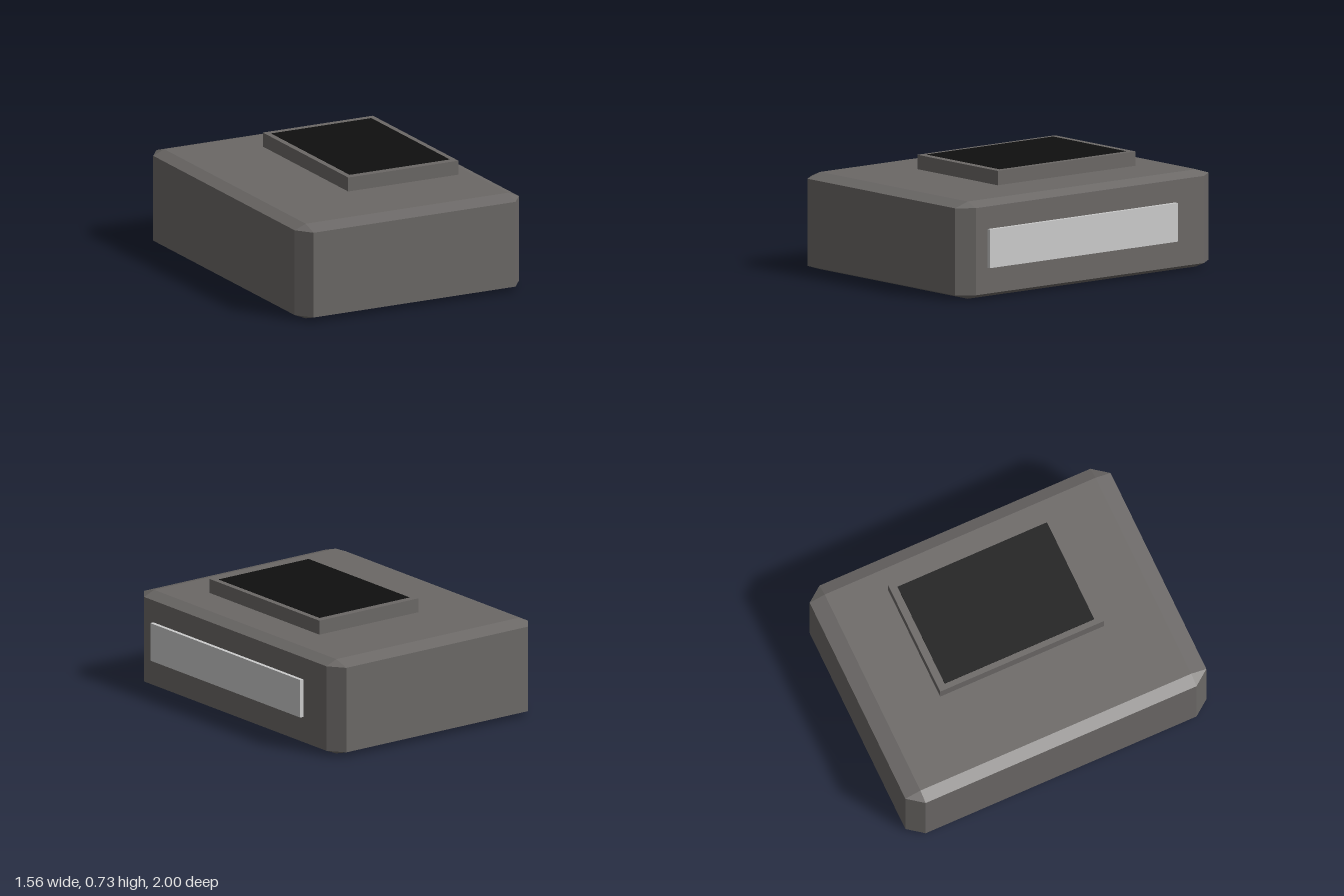
import * as THREE from 'three';
import { ConvexGeometry } from 'three/addons/geometries/ConvexGeometry.js';

const material = (color) => new THREE.MeshStandardMaterial({ color, flatShading: true });

// Box given by its minimum and maximum corners
function box(name, min, max, mat) {
  const size = max.map((v, i) => v - min[i]);
  const mesh = new THREE.Mesh(new THREE.BoxGeometry(...size), mat);
  mesh.position.set(...max.map((v, i) => (v + min[i]) / 2));
  mesh.name = name;
  return mesh;
}

// Box with every edge bevelled: each corner becomes three points, one per face
function bevelledBox(size, bevel) {
  const half = size.map((s) => s / 2);
  const points = [];
  for (const sx of [-1, 1]) for (const sy of [-1, 1]) for (const sz of [-1, 1]) {
    const sign = [sx, sy, sz];
    for (let face = 0; face < 3; face++) {
      points.push(new THREE.Vector3(
        ...half.map((h, i) => sign[i] * (i === face ? h : h - bevel[i]))
      ));
    }
  }
  return new ConvexGeometry(points);
}

export function createModel() {
  const model = new THREE.Group();
  model.name = 'device';
  const casing = material(0x6b6866);

  // Main casing
  const body = new THREE.Mesh(bevelledBox([1.538, 0.596, 2], [0.076, 0.031, 0.1]), casing);
  body.position.set(-0.012, 0.298, 0);
  body.name = 'casing';
  model.add(body);

  // Raised display on top, hovering slightly above the casing
  const display = new THREE.Group();
  display.name = 'display';
  display.add(
    box('displayFrame', [-0.22, 0.637, -0.546], [0.536, 0.725, 0.541], casing),
    box('screen', [-0.185, 0.71, -0.5], [0.5, 0.727, 0.494], material(0x0f0f0f))
  );
  model.add(display);

  // Pale panel on the left flank
  model.add(box('sidePanel', [0.745, 0.19, -0.673], [0.781, 0.427, 0.808], material(0xcccccc)));

  return model;
}
